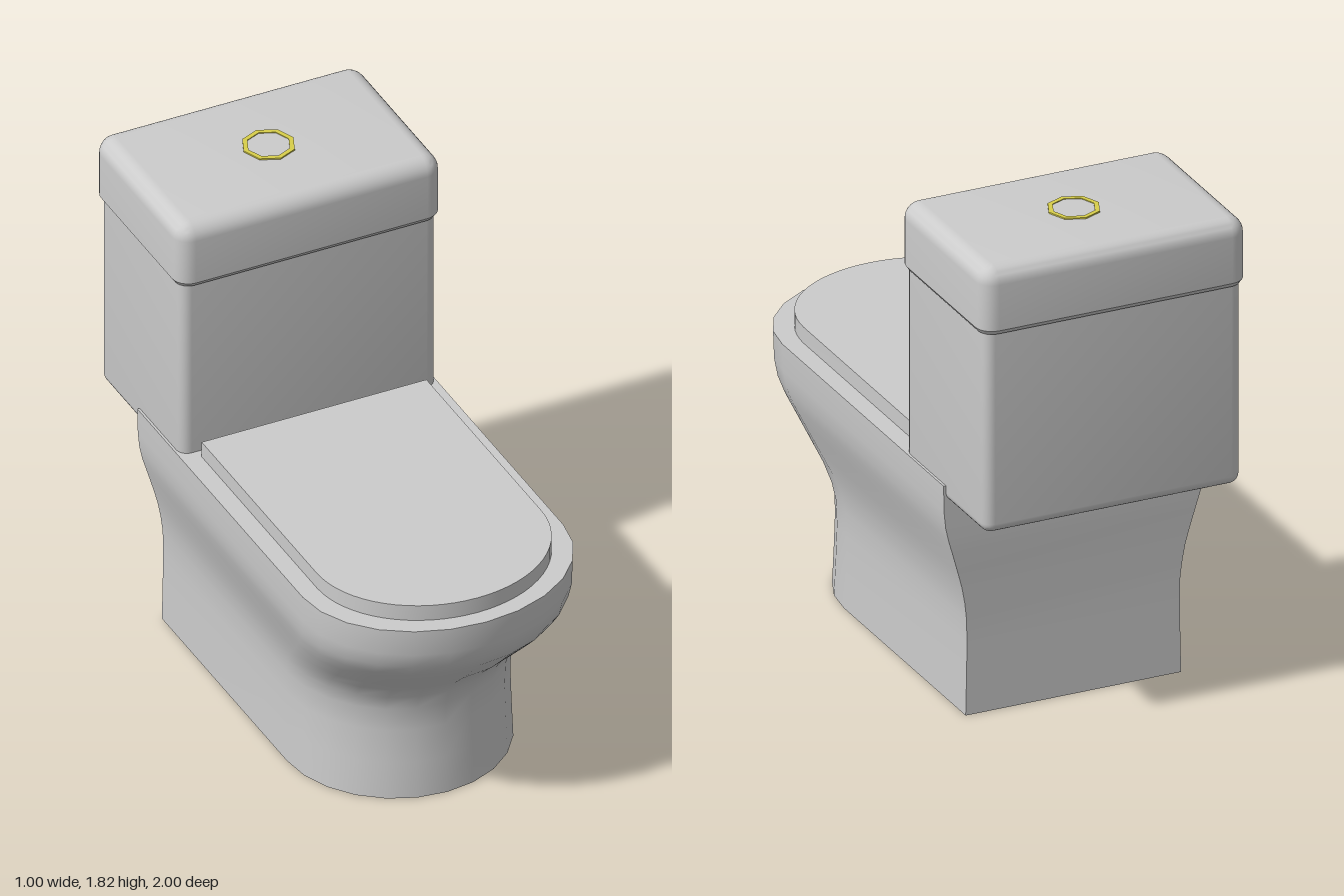
import * as THREE from 'three';
import { toCreasedNormals } from 'three/addons/utils/BufferGeometryUtils.js';

const grey = new THREE.MeshStandardMaterial({ color: 0xcccccc });
const yellow = new THREE.MeshStandardMaterial({ color: 0xd8cf4a });

// Closed, capped skin over convex rings of [x, z] points, listed bottom to top
function loft(rings, crease = 0.6) {
  const n = rings[0].points.length, last = rings.length - 1;
  const pos = [], index = [];
  for (const { y, points } of rings) for (const [x, z] of points) pos.push(x, y, z);
  for (let j = 0; j < last; j++) for (let i = 0; i < n; i++) {
    const a = j * n + i, b = j * n + (i + 1) % n;
    index.push(a, a + n, b, b, a + n, b + n);
  }
  for (const j of [0, last]) {
    const { y, points } = rings[j], centre = pos.length / 3;
    pos.push(0, y, points.reduce((sum, p) => sum + p[1], 0) / n);
    for (let i = 0; i < n; i++) {
      const a = j * n + i, b = j * n + (i + 1) % n;
      index.push(centre, ...(j === 0 ? [a, b] : [b, a]));
    }
  }
  const geometry = new THREE.BufferGeometry();
  geometry.setAttribute('position', new THREE.Float32BufferAttribute(pos, 3));
  geometry.setIndex(index);
  return toCreasedNormals(geometry.toNonIndexed(), crease);
}

// Outline with a square back and a rounded front
function uOutline(halfWidth, front, back, depth, segments) {
  const points = [];
  for (let i = 0; i <= segments; i++) {
    const t = Math.PI * i / segments;
    points.push([halfWidth * Math.cos(t), front - depth + depth * Math.sin(t)]);
  }
  points.push([-halfWidth, back], [halfWidth, back]);
  return points;
}

// Rectangle with rounded corners, centred on z
function roundedRect(halfX, halfZ, z, radius, steps = 6) {
  const points = [];
  [[1, 1], [-1, 1], [-1, -1], [1, -1]].forEach(([sx, sz], q) => {
    for (let i = 0; i <= steps; i++) {
      const t = (q + i / steps) * Math.PI / 2;
      points.push([sx * (halfX - radius) + radius * Math.cos(t),
        z + sz * (halfZ - radius) + radius * Math.sin(t)]);
    }
  });
  return points;
}

export function createModel() {
  const model = new THREE.Group();
  const add = (name, geometry, material = grey) => {
    const mesh = new THREE.Mesh(geometry, material);
    mesh.name = name;
    model.add(mesh);
    return mesh;
  };

  // Bowl and pedestal: height, half width, front, back
  const bowl = [
    [0, 0.405, 0.70, -0.665], [0.14, 0.402, 0.692, -0.665], [0.27, 0.40, 0.686, -0.665],
    [0.36, 0.402, 0.69, -0.665], [0.42, 0.409, 0.71, -0.667], [0.48, 0.42, 0.755, -0.668],
    [0.54, 0.436, 0.82, -0.67], [0.61, 0.456, 0.89, -0.673], [0.67, 0.474, 0.947, -0.675],
    [0.72, 0.485, 0.98, -0.675], [0.78, 0.491, 0.996, -0.675], [0.88, 0.493, 1, -0.675],
  ];
  add('bowl', loft(bowl.map(([y, w, f, b]) => ({ y, points: uOutline(w, f, b, 0.41, 12) }))));

  // Closed seat cover
  const cover = uOutline(0.425, 0.935, -0.32, 0.375, 32);
  add('seatCover', loft([{ y: 0.88, points: cover }, { y: 0.94, points: cover }]));

  // Tank with a rounded lower edge
  const tank = [];
  for (let i = 0; i <= 6; i++) {
    const t = i / 6 * Math.PI / 2, inset = 0.035 * (1 - Math.sin(t));
    tank.push({ y: 0.82 + 0.035 * (1 - Math.cos(t)),
      points: roundedRect(0.484 - inset, 0.312 - inset, -0.668, 0.04 - inset) });
  }
  tank.push({ y: 1.58, points: roundedRect(0.484, 0.312, -0.668, 0.04) });
  add('tank', loft(tank));

  // Tank lid: chamfered below, rounded above
  const lid = [
    { y: 1.57, points: roundedRect(0.488, 0.32, -0.668, 0.05) },
    { y: 1.587, points: roundedRect(0.5, 0.332, -0.668, 0.062) },
  ];
  for (let i = 0; i <= 8; i++) {
    const t = i / 8 * Math.PI / 2, inset = 0.06 * (1 - Math.cos(t));
    lid.push({ y: 1.757 + 0.06 * Math.sin(t),
      points: roundedRect(0.5 - inset, 0.332 - inset, -0.668, 0.062 - inset) });
  }
  add('tankLid', loft(lid));

  // Eight-sided flush button with its coloured rim
  const octagon = (Type, r) => new Type().setFromPoints(Array.from({ length: 8 }, (_, i) =>
    new THREE.Vector2(r * Math.cos(i * Math.PI / 4), r * Math.sin(i * Math.PI / 4))));
  const rim = octagon(THREE.Shape, 0.094);
  rim.holes.push(octagon(THREE.Path, 0.076));
  const rimGeometry = new THREE.ExtrudeGeometry(rim, { depth: 0.012, bevelEnabled: false });
  rimGeometry.rotateX(-Math.PI / 2);
  add('buttonRim', rimGeometry, yellow).position.set(0, 1.81, -0.668);
  const button = new THREE.CylinderGeometry(0.076, 0.076, 0.01, 8).rotateY(Math.PI / 2);
  add('flushButton', toCreasedNormals(button, 0.5)).position.set(0, 1.814, -0.668);

  return model;
}
